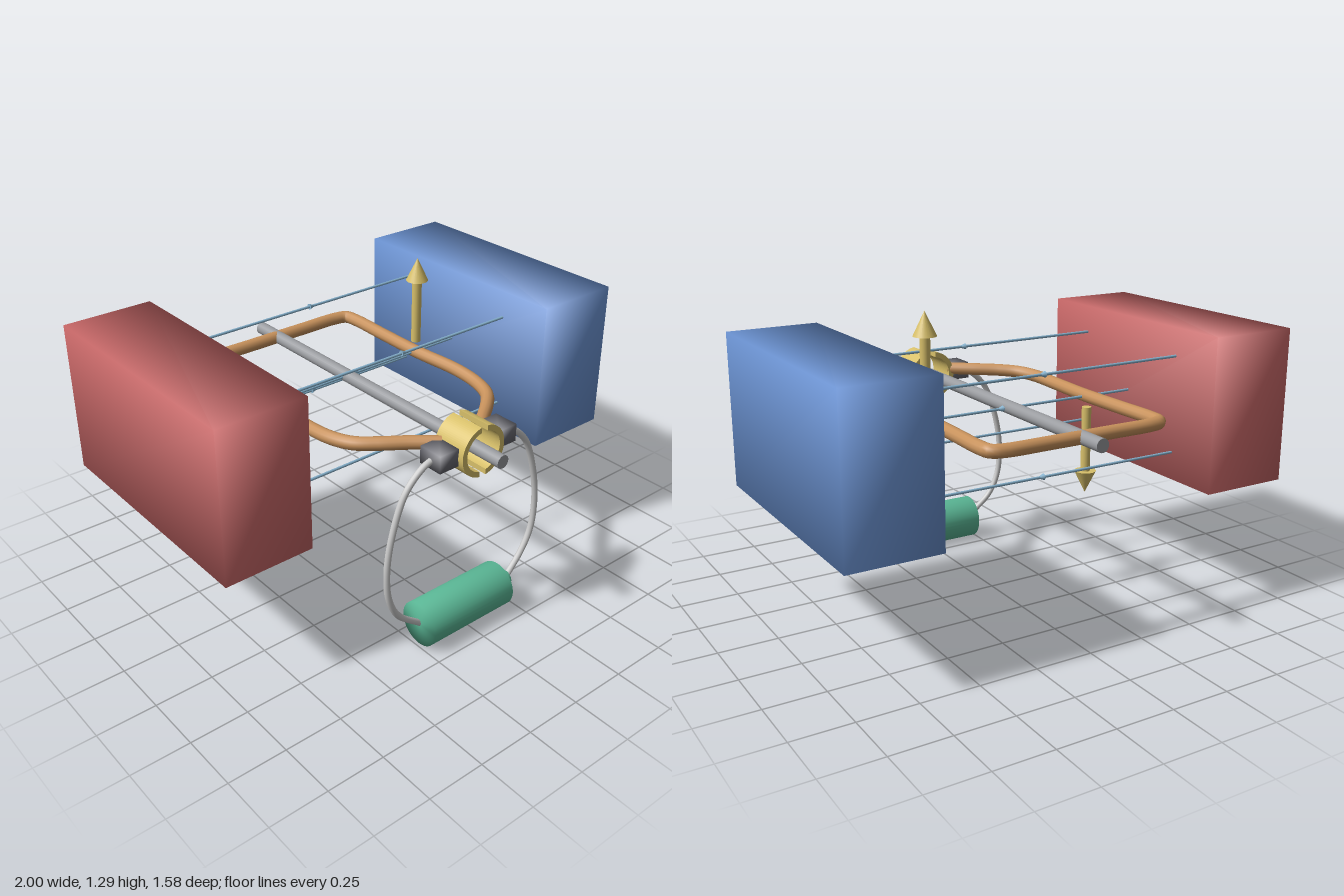
import * as THREE from 'three';
import { mergeVertices } from 'three/addons/utils/BufferGeometryUtils.js';

const AXIS_Y = 0.856;
const BRUSH_Z = 0.607;
const COIL_Z = -0.145;

const paint = (color) => new THREE.MeshStandardMaterial({ color, side: THREE.DoubleSide });
const red = paint(0xc96868);
const blue = paint(0x6c94d4);
const copper = paint(0xc8925c);
const gold = paint(0xd8c06a);
const green = paint(0x5cba98);
const pale = paint(0x88b4d0);
const steel = paint(0x9a9ca0);
const carbon = paint(0x6a6a72);
const grey = paint(0xcccccc);

// Shares corners between faces so the shading runs softly across edges
function soften(geometry) {
  geometry.deleteAttribute('uv');
  geometry.deleteAttribute('normal');
  const merged = mergeVertices(geometry);
  merged.computeVertexNormals();
  return merged;
}

function part(parent, name, geometry, material, x = 0, y = 0, z = 0) {
  const mesh = new THREE.Mesh(geometry, material);
  mesh.name = name;
  mesh.position.set(x, y, z);
  parent.add(mesh);
  return mesh;
}

function tube(points, radius, segments) {
  const curve = new THREE.CatmullRomCurve3(points.map((p) => new THREE.Vector3(...p)));
  return new THREE.TubeGeometry(curve, segments, radius, 12);
}

// Arrow along +y from the origin
function arrow(name, length, radius, headLength, headRadius, material) {
  const group = new THREE.Group();
  group.name = name;
  const shaft = length - headLength;
  part(group, 'arrowShaft', new THREE.CylinderGeometry(radius, radius, shaft, 16), material, 0, shaft / 2);
  part(group, 'arrowHead', new THREE.ConeGeometry(headRadius, headLength, 24), material, 0, shaft + headLength / 2);
  return group;
}

export function createModel() {
  const model = new THREE.Group();
  model.name = 'simpleElectricMotor';

  // Pair of magnet blocks
  const magnet = soften(new THREE.BoxGeometry(0.39, 0.65, 1.11));
  part(model, 'rightMagnet', magnet, red, -0.805, 0.855, COIL_Z);
  part(model, 'leftMagnet', magnet, blue, 0.805, 0.855, COIL_Z);

  // Field lines: four corners and the middle, each with a small pointer
  const field = new THREE.Group();
  field.name = 'fieldLines';
  model.add(field);
  for (const [dy, dz] of [[0, 0], [1, 1], [1, -1], [-1, 1], [-1, -1]]) {
    const y = 0.855 + dy * 0.207;
    const z = COIL_Z + dz * 0.31;
    part(field, 'fieldLine', new THREE.CylinderGeometry(0.006, 0.006, 1.23, 8), pale, 0, y, z).rotation.z = Math.PI / 2;
    part(field, 'fieldPointer', new THREE.ConeGeometry(0.013, 0.035, 12), pale, 0.052, y, z).rotation.z = -Math.PI / 2;
  }

  // Shaft
  part(model, 'shaft', new THREE.CylinderGeometry(0.028, 0.028, 1.58, 24), steel, 0, AXIS_Y, 0).rotation.x = Math.PI / 2;

  // Coil loop, with its two leads slightly offset in height
  const half = [
    [0.10, 0.56, 0.018], [0.19, 0.485, 0.018], [0.29, 0.41, 0.016], [0.355, 0.345, 0.012],
    [0.388, 0.26, 0.007], [0.4, 0.12, 0], [0.388, -0.13, 0], [0.392, -0.38, 0],
    [0.396, -0.58, 0], [0.385, -0.638, 0], [0.33, -0.656, 0], [0.15, -0.658, 0],
  ];
  const side = (s) => half.map(([x, z, drop]) => [s * x, AXIS_Y - s * drop, z]);
  part(model, 'coil', tube([...side(1), ...side(-1).reverse()], 0.028, 200), copper);

  // Split commutator ring
  const [outer, inner, gap] = [0.109, 0.086, 0.016];
  const a = Math.asin(gap / outer);
  const b = Math.asin(gap / inner);
  const halfRing = new THREE.Shape();
  halfRing.absarc(0, 0, outer, -Math.PI / 2 + a, Math.PI / 2 - a, false);
  halfRing.absarc(0, 0, inner, Math.PI / 2 - b, -Math.PI / 2 + b, true);
  const ringGeometry = new THREE.ExtrudeGeometry(halfRing, { depth: 0.156, bevelEnabled: false, curveSegments: 20 });
  part(model, 'leftCommutatorHalf', ringGeometry, gold, 0, AXIS_Y, 0.532);
  part(model, 'rightCommutatorHalf', ringGeometry, gold, 0, AXIS_Y, 0.688).rotation.y = Math.PI;

  // Brushes
  const brush = soften(new THREE.BoxGeometry(0.094, 0.075, 0.112));
  for (const s of [1, -1]) {
    part(model, s > 0 ? 'leftBrush' : 'rightBrush', brush, carbon, s * 0.153, AXIS_Y, BRUSH_Z);
  }

  // Supply wires from the brushes down to the battery
  const wire = (s, endX) => tube([
    [s * 0.18, 0.855, BRUSH_Z], [s * 0.235, 0.835, BRUSH_Z], [s * 0.32, 0.755, BRUSH_Z],
    [s * 0.385, 0.58, BRUSH_Z], [s * 0.407, 0.42, BRUSH_Z], [s * 0.393, 0.29, BRUSH_Z],
    [s * 0.345, 0.195, BRUSH_Z], [endX, 0.1, BRUSH_Z],
  ], 0.0135, 80);
  part(model, 'leftWire', wire(1, 0.265), grey);
  part(model, 'rightWire', wire(-1, -0.23), grey);

  // Battery lying across the front
  const battery = soften(new THREE.CylinderGeometry(0.0975, 0.0975, 0.44, 40));
  part(model, 'battery', battery, green, -0.015, 0.0975, BRUSH_Z + 0.003).rotation.z = Math.PI / 2;
  const terminal = soften(new THREE.CylinderGeometry(0.034, 0.034, 0.06, 24));
  part(model, 'batteryTerminal', terminal, green, 0.231, 0.0975, BRUSH_Z + 0.003).rotation.z = Math.PI / 2;

  // Force arrows: up on the left side of the coil, down on the right
  const up = arrow('upForceArrow', 0.388, 0.021, 0.1, 0.048, gold);
  up.position.set(0.39, 0.906, COIL_Z);
  const down = arrow('downForceArrow', 0.388, 0.021, 0.1, 0.048, gold);
  down.position.set(-0.39, 0.806, COIL_Z);
  down.rotation.z = Math.PI;
  model.add(up, down);

  return model;
}
